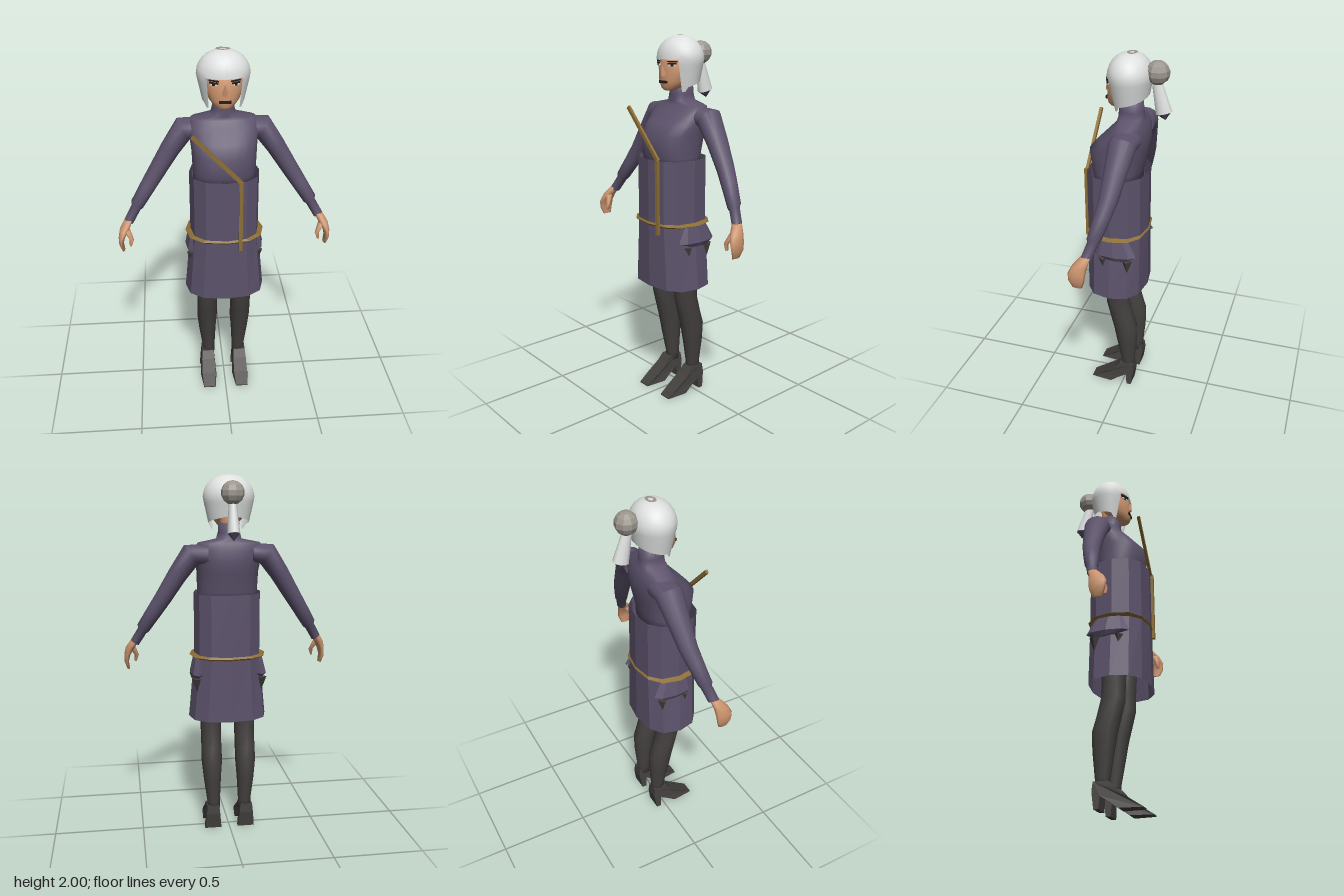
import * as THREE from 'three';
import { toCreasedNormals } from 'three/addons/utils/BufferGeometryUtils.js';

const mat = (name, color, side = THREE.FrontSide) => {
  const m = new THREE.MeshStandardMaterial({ color, side });
  m.name = name;
  return m;
};

// Skin a stack of elliptical rings [x, y, z, rx, rz, tilt]; s = -1 mirrors it across x
function loft(rings, { n = 20, p = 1, s = 1, caps = true, crease = 0 } = {}) {
  const pos = [], idx = [];
  const pw = (v) => Math.sign(v) * Math.abs(v) ** p;
  rings.forEach(([x, y, z, rx, rz, t = 0]) => {
    for (let j = 0; j < n; j++) {
      const a = (j / n) * Math.PI * 2, v = pw(Math.sin(a)) * rx;
      pos.push(s * x + Math.cos(t * s) * v, y + Math.sin(t * s) * v, z + pw(Math.cos(a)) * rz);
    }
  });
  const last = (rings.length - 1) * n;
  for (let i = 0; i < last; i += n) {
    for (let j = 0; j < n; j++) {
      const k = (j + 1) % n;
      idx.push(i + j, i + k, i + n + k, i + j, i + n + k, i + n + j);
    }
  }
  if (caps) {
    const c = pos.length / 3, a = rings[0], b = rings.at(-1);
    pos.push(s * a[0], a[1], a[2], s * b[0], b[1], b[2]);
    for (let j = 0; j < n; j++) {
      const k = (j + 1) % n;
      idx.push(c, k, j, c + 1, last + j, last + k);
    }
  }
  const g = new THREE.BufferGeometry();
  g.setAttribute('position', new THREE.Float32BufferAttribute(pos, 3));
  g.setIndex(idx);
  if (crease) return toCreasedNormals(g, crease);
  g.computeVertexNormals();
  return g;
}

function flat(g) {
  const f = g.index ? g.toNonIndexed() : g;
  f.computeVertexNormals();
  return f;
}

// Ring given by its front and back z
const slab = (y, rx, zf, zb) => [0, y, (zf + zb) / 2, rx, (zf - zb) / 2];

// Hair cap whose lower edge varies around the head
function hairGeometry() {
  const n = 36, m = 12, pos = [], idx = [];
  for (let i = 0; i <= m; i++) {
    for (let j = 0; j <= n; j++) {
      const a = (j / n) * Math.PI * 2, f = Math.abs(a > Math.PI ? a - 2 * Math.PI : a);
      const hem = f < 0.85 ? 1.88 : f < 1.2 ? 1.715 : 1.74 + 0.05 * (f - 1.2) / 1.94;
      const t = i / m;
      const y = t < 0.6 ? 1.88 + 0.12 * Math.cos((t / 0.6) * Math.PI / 2) : 1.88 + (hem - 1.88) * (t - 0.6) / 0.4;
      const r = t < 0.6 ? Math.sin((t / 0.6) * Math.PI / 2) ** 0.9 : 1 - (1.88 - y) * 1.6;
      pos.push(Math.sin(a) * 0.138 * r, y, -0.01 + Math.cos(a) * 0.117 * r);
    }
  }
  for (let i = 0; i < m; i++) {
    for (let j = 0; j < n; j++) {
      const a = i * (n + 1) + j, b = a + n + 1;
      idx.push(a, b, b + 1, a, b + 1, a + 1);
    }
  }
  const g = new THREE.BufferGeometry();
  g.setAttribute('position', new THREE.Float32BufferAttribute(pos, 3));
  g.setIndex(idx);
  g.computeVertexNormals();
  return g;
}

export function createModel() {
  const root = new THREE.Group();
  root.name = 'figure';
  const purple = mat('purple cloth', 0x5c526b, THREE.DoubleSide);
  const boot = mat('dark leather', 0x43403e);
  const gold = mat('gold trim', 0x8c6e35);
  const skin = mat('skin', 0xcc946e);
  const white = mat('white hair', 0xdde0de, THREE.DoubleSide);
  const grey = mat('grey hair tie', 0x9c968e);
  const dark = mat('dark features', 0x241c1c);

  const add = (name, geo, material, x = 0, y = 0, z = 0) => {
    const m = new THREE.Mesh(geo, material);
    m.name = name;
    m.position.set(x, y, z);
    root.add(m);
    return m;
  };

  // Bodice with high collar
  add('bodice', loft([
    slab(1.32, 0.165, 0.17, -0.075), slab(1.38, 0.166, 0.185, -0.08), slab(1.49, 0.17, 0.2, -0.108),
    slab(1.55, 0.178, 0.145, -0.115), slab(1.61, 0.185, 0.085, -0.11), slab(1.645, 0.17, 0.05, -0.095),
    slab(1.665, 0.068, 0.05, -0.088), slab(1.7, 0.058, 0.047, -0.083), slab(1.75, 0.058, 0.047, -0.078),
  ], { n: 24, p: 0.85 }), purple);

  // Faceted open tunic and skirt
  add('skirt', flat(loft([
    [0, 0.66, 0.05, 0.22, 0.165], [0, 1.02, 0.05, 0.186, 0.165], [0, 1.37, 0.05, 0.186, 0.165],
  ], { n: 12, p: 0.8, caps: false })), purple);

  // Belt and shoulder strap
  add('belt', flat(loft([
    [0, 1.009, 0.05, 0.186, 0.164], [0, 1.02, 0.05, 0.214, 0.172], [0, 1.031, 0.05, 0.186, 0.164],
  ], { n: 12, p: 0.8, caps: false })), gold);
  const strap = (name, ax, ay, bx, by, z) => {
    const g = new THREE.BoxGeometry(0.02, Math.hypot(bx - ax, by - ay), 0.015);
    add(name, g, gold, (ax + bx) / 2, (ay + by) / 2, z).rotation.z = Math.atan2(ax - bx, by - ay);
  };
  strap('strapDiagonal', -0.172, 1.628, 0.075, 1.37, 0.207);
  strap('strapHanging', 0.075, 0.97, 0.075, 1.375, 0.214);

  // Shoe side outline, drawn as (z, y)
  const shoe = new THREE.Shape([
    [-0.065, 0.14], [-0.07, 0.09], [-0.056, 0], [-0.03, 0], [-0.025, 0.065], [0.03, 0.03],
    [0.07, 0], [0.19, 0], [0.19, 0.006], [0.12, 0.05], [0.05, 0.1], [0.016, 0.14],
  ].map(([z, y]) => new THREE.Vector2(z, y)));

  for (const s of [1, -1]) {
    const side = s > 0 ? 'left' : 'right';

    // Sleeve and cuff
    add(side + 'Sleeve', loft([
      [0.12, 1.585, -0.03, 0.055, 0.076, -1.57], [0.205, 1.583, -0.03, 0.063, 0.075, -2.2],
      [0.28, 1.475, -0.02, 0.052, 0.062, -2.55], [0.358, 1.35, -0.006, 0.046, 0.05, -2.55],
      [0.41, 1.27, 0.012, 0.042, 0.044, -2.56], [0.468, 1.18, 0.035, 0.037, 0.037, -2.56],
      [0.474, 1.165, 0.038, 0.027, 0.03, -2.56], [0.516, 1.095, 0.06, 0.026, 0.029, -2.56],
    ], { n: 14, s, crease: 0.9 }), purple);

    // Hand with curled fingers and thumb
    add(side + 'Hand', loft([
      [0.553, 0.94, 0.1, 0.008, 0.026], [0.563, 0.98, 0.1, 0.012, 0.042], [0.558, 1.02, 0.1, 0.018, 0.047],
      [0.542, 1.06, 0.088, 0.026, 0.04], [0.517, 1.105, 0.062, 0.024, 0.026],
    ], { n: 10, s }), skin);
    add(side + 'Thumb', loft([
      [0.512, 0.975, 0.125, 0.006, 0.009], [0.505, 1.01, 0.122, 0.012, 0.013], [0.53, 1.06, 0.1, 0.02, 0.02],
    ], { n: 8, s }), skin);

    // Leg and heeled shoe
    add(side + 'Leg', loft([
      [0.09, 0.11, -0.025, 0.036, 0.04], [0.09, 0.16, -0.026, 0.037, 0.041], [0.096, 0.3, -0.02, 0.05, 0.06],
      [0.097, 0.4, -0.012, 0.059, 0.07], [0.097, 0.48, 0.01, 0.058, 0.068], [0.097, 0.57, 0.032, 0.058, 0.068],
      [0.097, 0.66, 0.035, 0.06, 0.066], [0.095, 0.9, 0.04, 0.075, 0.075],
    ], { n: 12, s }), boot);
    const g = new THREE.ExtrudeGeometry(shoe, { depth: 0.095, bevelEnabled: false });
    g.translate(0, 0, -0.0475).rotateY(-Math.PI / 2);
    const v = g.attributes.position;
    for (let i = 0; i < v.count; i++) {
      const toe = Math.max(0, v.getZ(i) - 0.1) * 3;
      v.setX(i, v.getX(i) * (1 - v.getY(i) * 2 - toe));
    }
    add(side + 'Shoe', flat(g), boot, s * 0.096, 0, 0);

    // Flared hip flap with dark points beneath
    add(side + 'HipFlap', flat(loft([
      [0.172, 0.9, 0.02, 0.03, 0.07], [0.175, 0.925, 0.025, 0.04, 0.12], [0.165, 1.01, 0.035, 0.03, 0.085],
    ], { n: 8, s })), purple);
    for (const z of [0.09, -0.045]) {
      const point = add(side + 'HipPoint', flat(new THREE.ConeGeometry(0.03, 0.08, 4)), boot, s * 0.18, 0.86, z);
      point.rotation.x = Math.PI;
    }
  }

  // Head, neck and nose
  add('neck', loft([[0, 1.68, -0.015, 0.045, 0.05], [0, 1.82, -0.015, 0.05, 0.055]]), skin);
  add('head', loft([
    slab(1.722, 0.03, 0.095, 0.03), slab(1.735, 0.052, 0.104, 0), slab(1.765, 0.078, 0.11, -0.04),
    slab(1.81, 0.096, 0.106, -0.06), slab(1.86, 0.103, 0.102, -0.07), slab(1.91, 0.095, 0.08, -0.08),
    slab(1.95, 0.06, 0.04, -0.06),
  ], { n: 28 }), skin);
  const nose = add('nose', flat(new THREE.ConeGeometry(0.02, 0.06, 4)), skin, 0, 1.829, 0.108);
  nose.rotation.x = 0.25;

  // Painted features
  add('mouth', new THREE.BoxGeometry(0.062, 0.014, 0.009), dark, 0, 1.766, 0.107);
  for (const s of [1, -1]) {
    const plate = (name, y, w, h, m, z) => {
      add(name, new THREE.BoxGeometry(w, h, 0.008), m, s * 0.055, y, z).rotation.y = s * 0.52;
    };
    plate('eyebrow', 1.871, 0.055, 0.006, dark, 0.091);
    plate('eyeWhite', 1.853, 0.038, 0.012, white, 0.0905);
    plate('eyeLash', 1.86, 0.046, 0.007, dark, 0.092);
    plate('iris', 1.853, 0.014, 0.012, dark, 0.0925);
  }

  // Hair with crown ring, bun and tail
  add('hair', hairGeometry(), white);
  const crown = add('crownRing', new THREE.RingGeometry(0.016, 0.037, 14), grey, 0, 2, -0.02);
  crown.rotation.x = -Math.PI / 2;
  crown.scale.y = 0.72;
  add('bun', flat(new THREE.SphereGeometry(0.062, 9, 7)), grey, 0, 1.908, -0.153);
  const tail = add('hairTail', new THREE.CylinderGeometry(0.026, 0.045, 0.17, 10), white, 0, 1.785, -0.168);
  tail.rotation.x = 0.25;
  tail.scale.x = 0.75;
  const tip = add('hairTailTip', flat(new THREE.ConeGeometry(0.042, 0.04, 8)), purple, 0, 1.684, -0.192);
  tip.rotation.x = Math.PI + 0.25;
  tip.scale.x = 0.75;

  return root;
}
